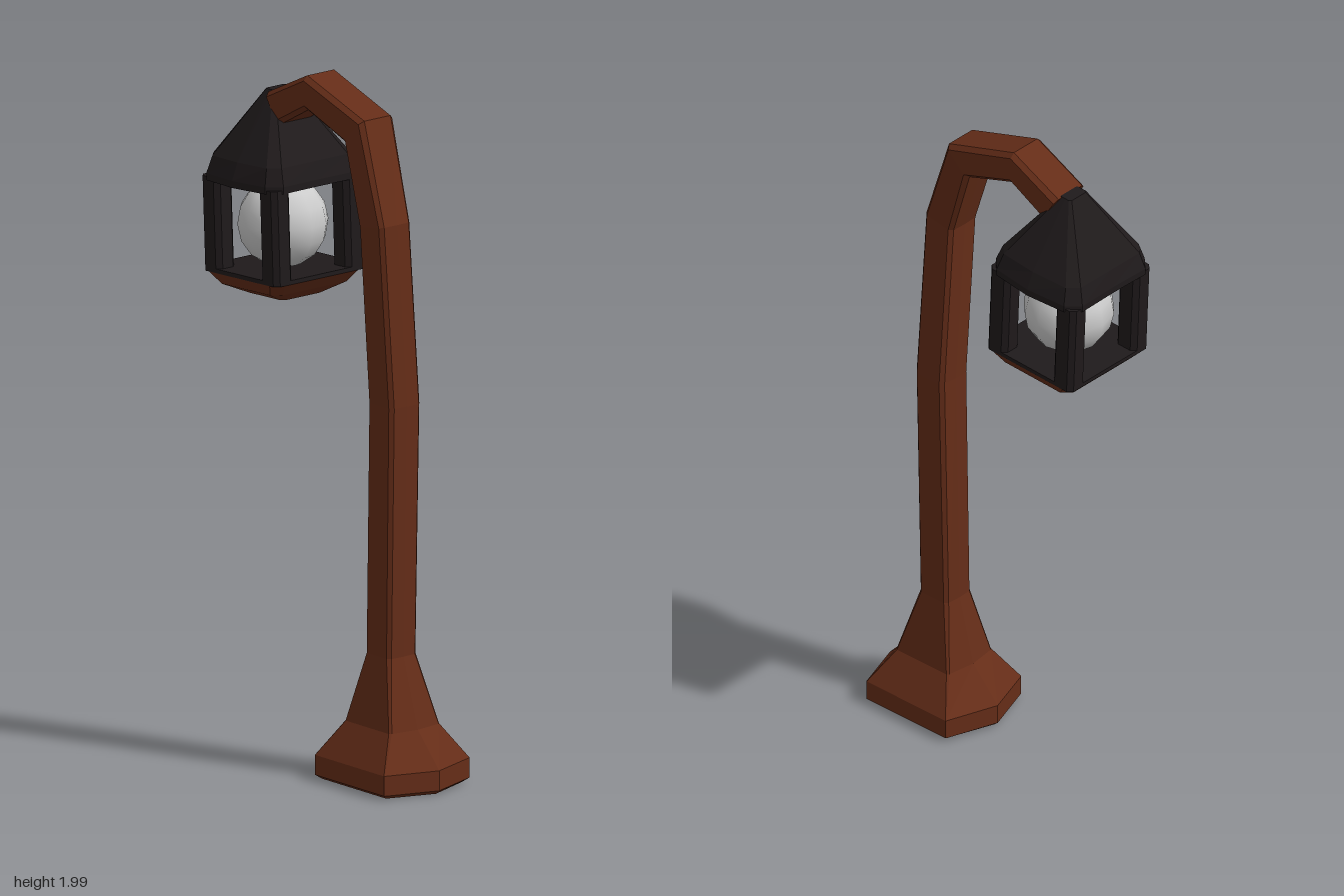
import * as THREE from 'three';

const paint = (color) => new THREE.MeshStandardMaterial({ color, flatShading: true });

// Twelve-sided ring from a quarter outline (side middle, two corner points, front middle).
// The ring lies in the plane of x and a direction turned by tilt degrees from +z towards +y.
function ring([cx, cy, cz], tilt, [p0, p1, p2, p3]) {
  const a = THREE.MathUtils.degToRad(tilt);
  const flat = [
    p0, p1, p2, p3, [-p2[0], p2[1]], [-p1[0], p1[1]],
    [-p0[0], 0], [-p1[0], -p1[1]], [-p2[0], -p2[1]], [0, -p3[1]], [p2[0], -p2[1]], [p1[0], -p1[1]],
  ];
  return flat.map(([u, v]) => [cx + u, cy + v * Math.sin(a), cz + v * Math.cos(a)]);
}

// Closed skin through a series of rings, with a cap at each end
function loft(rings) {
  const n = rings[0].length, pos = [], idx = [];
  rings.forEach((r) => r.forEach((p) => pos.push(...p)));
  for (let i = 0; i < rings.length - 1; i++) {
    for (let j = 0; j < n; j++) {
      const k = (j + 1) % n, a = i * n + j, b = i * n + k;
      idx.push(a, a + n, b, b, a + n, b + n);
    }
  }
  const cap = (start, flip) => {
    const c = pos.length / 3, mid = [0, 0, 0];
    for (let j = 0; j < n; j++) for (let d = 0; d < 3; d++) mid[d] += pos[(start + j) * 3 + d] / n;
    pos.push(...mid);
    for (let j = 0; j < n; j++) {
      const a = start + j, b = start + (j + 1) % n;
      idx.push(c, flip ? b : a, flip ? a : b);
    }
  };
  cap(0, false);
  cap((rings.length - 1) * n, true);
  const g = new THREE.BufferGeometry();
  g.setAttribute('position', new THREE.Float32BufferAttribute(pos, 3));
  g.setIndex(idx);
  g.computeVertexNormals();
  return g;
}

// Square outline with cut corners; bulge pushes out the middles of front and back
const block = (w, d, cut, bulge = 0, side = 0) =>
  [[w + side, 0], [w, d - cut], [w - cut, d], [0, d + bulge]];

export function createModel() {
  const model = new THREE.Group();
  const brown = paint(0x652d18), black = paint(0x1f1a1b), white = paint(0xcccccc);
  const add = (parent, name, geometry, material) => {
    const m = new THREE.Mesh(geometry, material);
    m.name = name;
    parent.add(m);
    return m;
  };

  // Flared foot, pole and bent arm in one skin
  add(model, 'pole', loft([
    ring([0, 0, 0.22], 0, block(0.14, 0.14, 0.002, 0.05)),
    ring([0, 0.012, 0.22], 0, block(0.157, 0.152, 0.002, 0.053)),
    ring([0, 0.07, 0.22], 0, block(0.157, 0.152, 0.002, 0.053)),
    ring([0, 0.17, 0.22], 0, block(0.092, 0.1, 0.006, 0.012)),
    ring([0, 0.37, 0.215], 0, block(0.053, 0.053, 0.01, 0.003)),
    ring([0.002, 1.1, 0.227], 0, block(0.056, 0.053, 0.011, 0.002)),
    ring([-0.021, 1.62, 0.212], 9, block(0.056, 0.052, 0.011, 0.002)),
    ring([-0.002, 1.875, 0.119], 45, block(0.062, 0.055, 0.014)),
    ring([0, 1.945, -0.09], 92, block(0.063, 0.05, 0.014)),
    ring([0, 1.87, -0.235], 122, block(0.063, 0.05, 0.014)),
  ]), brown);

  // Lantern, leaning back a little
  const lantern = new THREE.Group();
  lantern.name = 'lantern';
  lantern.position.set(0, 1.39, -0.25);
  lantern.rotation.x = -0.045;
  model.add(lantern);

  add(lantern, 'roof', loft([
    ring([0, 0.265, 0], 0, block(0.168, 0.165, 0.037, -0.003, 0.013)),
    ring([0, 0.285, 0], 0, block(0.168, 0.165, 0.037, -0.003, 0.013)),
    ring([0, 0.335, 0], 0, block(0.152, 0.148, 0.03, 0, 0.008)),
    ring([0, 0.525, 0], 0, block(0.035, 0.02, 0.006)),
  ]), black);

  add(lantern, 'bottomPan', loft([
    ring([0, -0.066, 0], 0, block(0.075, 0.08, 0.015)),
    ring([0, -0.035, 0], 0, block(0.142, 0.13, 0.025)),
    ring([0, 0, 0], 0, block(0.165, 0.162, 0.03)),
  ]), brown);

  add(lantern, 'floor', loft([
    ring([0, 0, 0], 0, block(0.165, 0.162, 0.03)),
    ring([0, 0.012, 0], 0, block(0.165, 0.162, 0.03)),
  ]), black);

  // Four corner bars
  for (const x of [-1, 1]) {
    for (const z of [-1, 1]) {
      add(lantern, 'cornerBar', loft([0, 0.275].map((y) =>
        ring([x * 0.132, y, z * 0.125], 0, block(0.033, 0.037, 0.014)))), black);
    }
  }

  const bulb = add(lantern, 'bulb', new THREE.SphereGeometry(0.13, 12, 8),
    new THREE.MeshStandardMaterial({ color: 0xcccccc }));
  bulb.position.set(0, 0.138, 0);

  return model;
}
